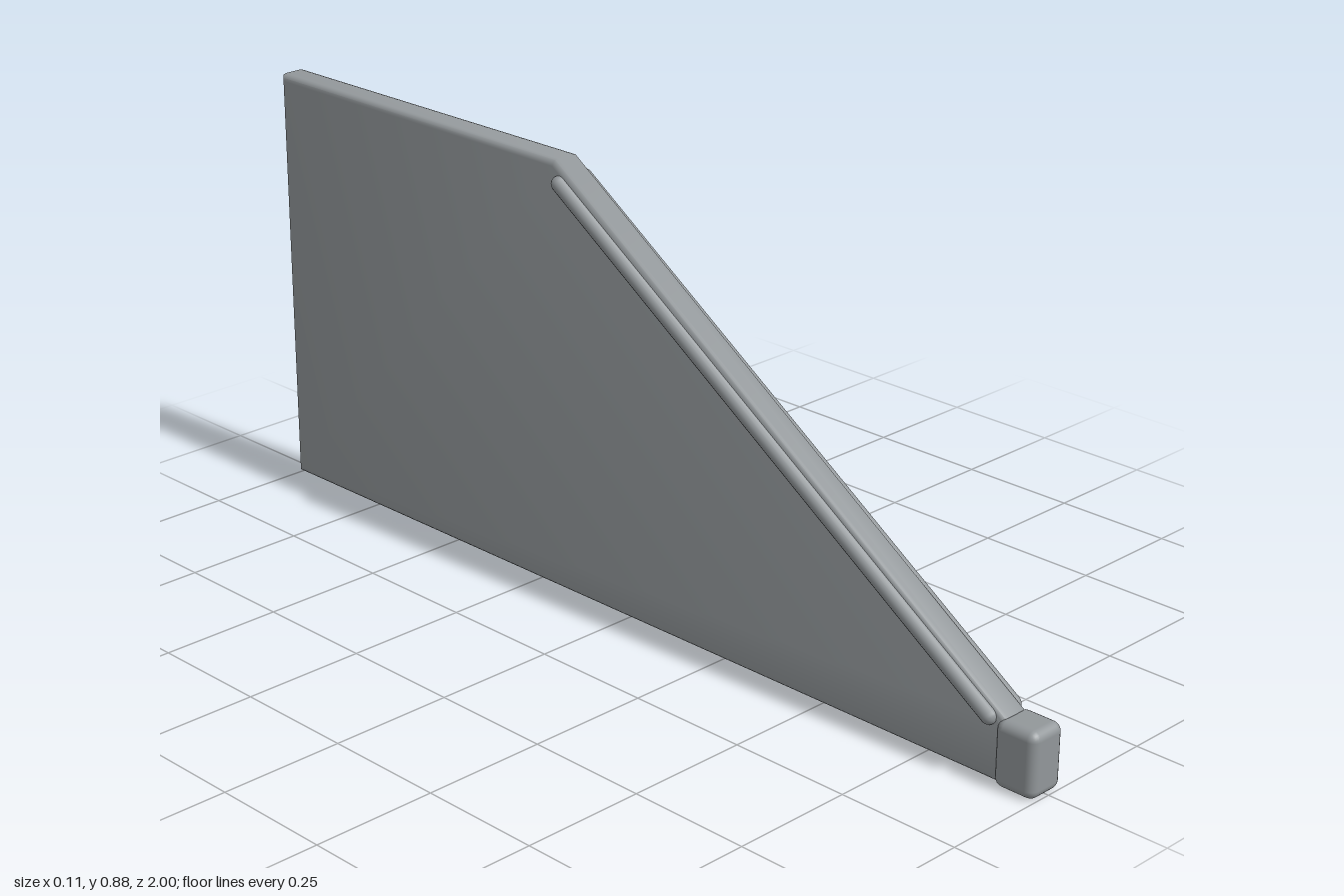
import * as THREE from 'three';
import { toCreasedNormals } from 'three/addons/utils/BufferGeometryUtils.js';
import { RoundedBoxGeometry } from 'three/addons/geometries/RoundedBoxGeometry.js';

export function createModel() {
  const group = new THREE.Group();
  const steel = new THREE.MeshStandardMaterial({ color: 0x92979a });
  steel.name = 'grey steel';
  const copper = new THREE.MeshStandardMaterial({ color: 0xad6a28 });
  copper.name = 'copper';

  const add = (name, geometry, material, x = 0, y = 0, z = 0) => {
    const mesh = new THREE.Mesh(geometry, material);
    mesh.name = name;
    mesh.position.set(x, y, z);
    group.add(mesh);
    return mesh;
  };

  const centreX = -0.005;
  const halfWidth = 0.032;

  // Sloped plate: side outline (z, y) extruded across x with rounded edges
  const outline = [[-1, 0.004], [0.925, 0.004], [0.925, 0.13], [-0.19, 0.88], [-1, 0.88]];
  const bevel = 0.013;
  const depth = 2 * (halfWidth - bevel);
  const plate = new THREE.ExtrudeGeometry(
    new THREE.Shape(outline.map(([z, y]) => new THREE.Vector2(z, y))),
    { depth, bevelSize: bevel, bevelThickness: bevel, bevelOffset: -bevel, bevelSegments: 3 }
  );
  plate.translate(0, 0, -depth / 2).rotateY(-Math.PI / 2);
  add('plate', toCreasedNormals(plate, 0.7), steel, centreX);

  // Rounded nose block at the low end of the slope
  add('nose', new RoundedBoxGeometry(0.082, 0.13, 0.09, 3, 0.018), steel, centreX, 0.065, 0.955);

  // Round rails along the slope, one on each side
  const low = new THREE.Vector3(0, 0.127, 0.892);
  const high = new THREE.Vector3(0, 0.837, -0.174);
  const along = high.clone().sub(low);
  const middle = low.clone().add(high).multiplyScalar(0.5);
  for (const side of [-1, 1]) {
    const rail = add(side > 0 ? 'leftRail' : 'rightRail',
      new THREE.CapsuleGeometry(0.016, along.length(), 5, 14), steel,
      centreX + side * halfWidth, middle.y, middle.z);
    rail.quaternion.setFromUnitVectors(new THREE.Vector3(0, 1, 0), along.clone().normalize());
  }

  // Studs on the left face
  const studs = [[0.465, 0.164], [-0.022, 0.164], [-0.51, 0.23], [-0.803, 0.23]];
  studs.forEach(([z, y], i) => {
    const stud = new THREE.CylinderGeometry(0.034, 0.034, 0.03, 16).rotateZ(-Math.PI / 2);
    add(`stud${i + 1}`, stud, copper, 0.037, y, z);
  });

  return group;
}
